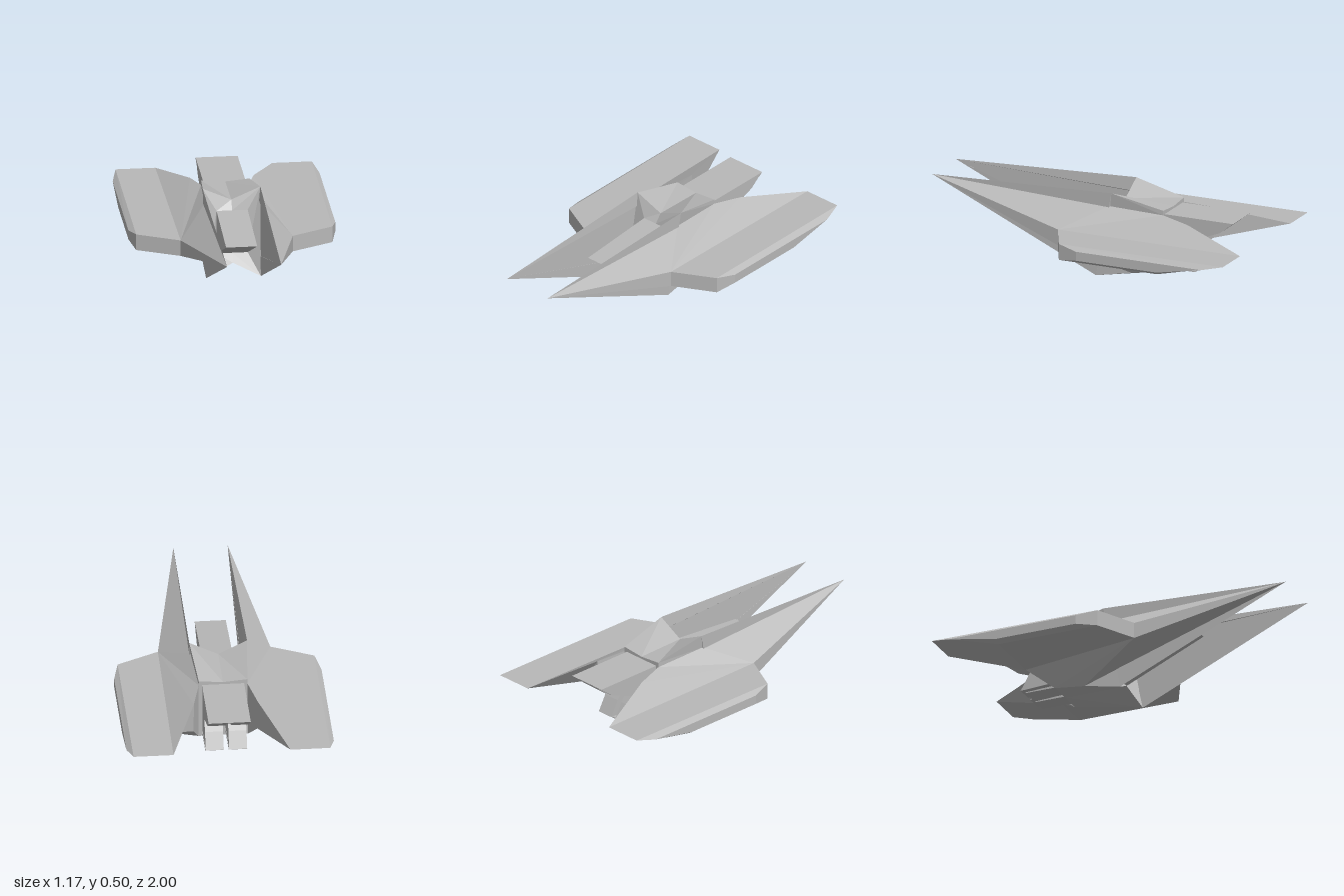
import * as THREE from 'three';

const hull = new THREE.MeshStandardMaterial({ color: 0xb8b8b8, flatShading: true, side: THREE.DoubleSide });
hull.name = 'hull grey';

// Corner points of the left half; the right half is mirrored
const P = {
  tip: [0.153, 0.455, 1],
  // prong plates beside the intake
  crest: [0.163, 0.5, -0.12], plateTop: [0.155, 0.42, -0.1],
  keel: [0.155, 0, -0.02], keelBack: [0.155, 0.045, -0.24],
  // centre body
  topFront: [0, 0.425, -0.13], topBack: [0, 0.42, -0.43],
  lowFront: [0, 0.075, -0.05], lowBack: [0, 0.075, -0.43],
  roofBack: [0.137, 0.432, -0.43], sideBack: [0.137, 0.405, -0.43], floorBack: [0.14, 0.075, -0.43],
  // intake rectangle
  inTop: [0.088, 0.375, -0.09], inLow: [0.088, 0.12, -0.09],
  inTopMid: [0, 0.375, -0.09], inLowMid: [0, 0.12, -0.09],
  // wing root and wing
  rootTop: [0.317, 0.295, 0.14], rootLow: [0.317, 0.202, 0.14],
  innerTop: [0.18, 0.385, -0.6], innerLow: [0.18, 0.202, -0.59],
  rearIn: [0.33, 0.3, -1], rearOut: [0.555, 0.3, -1],
  wingTop: [0.555, 0.296, 0.02], wingLow: [0.555, 0.202, 0.02],
  rootLowBack: [0.32, 0.202, -0.59], wingLowBack: [0.555, 0.202, -0.59],
  edgeTop: [0.585, 0.275, -0.1], edgeLow: [0.585, 0.222, -0.1],
  edgeLowBack: [0.585, 0.222, -0.6], edgeBack: [0.585, 0.275, -0.88],
};

// Builds polygons, each a space-separated list of corner names
function panels(name, side, faces) {
  const pos = [];
  for (const face of faces) {
    const c = face.split(' ').map((k) => [P[k][0] * side, P[k][1], P[k][2]]);
    if (side < 0) c.reverse();
    for (let i = 1; i < c.length - 1; i++) pos.push(...c[0], ...c[i], ...c[i + 1]);
  }
  const g = new THREE.BufferGeometry();
  g.setAttribute('position', new THREE.Float32BufferAttribute(pos, 3));
  g.computeVertexNormals();
  const m = new THREE.Mesh(g, hull);
  m.name = name;
  return m;
}

// Side profile given as [z, y] points, extruded across x0..x1
function profile(name, pts, x0, x1) {
  const shape = new THREE.Shape(pts.map(([z, y]) => new THREE.Vector2(z, y)));
  const g = new THREE.ExtrudeGeometry(shape, { depth: x1 - x0, bevelEnabled: false });
  g.rotateY(-Math.PI / 2).translate(x1, 0, 0);
  const m = new THREE.Mesh(g, hull);
  m.name = name;
  return m;
}

export function createModel() {
  const model = new THREE.Group();
  model.name = 'spaceship';

  for (const side of [1, -1]) {
    const half = new THREE.Group();
    half.name = side > 0 ? 'leftHalf' : 'rightHalf';

    half.add(panels('prong', side, [
      'tip plateTop crest',
      'tip crest keel',
      'tip keel keelBack',
      'tip keelBack rootLow',
      'tip rootLow rootTop',
      'tip rootTop plateTop',
    ]));

    half.add(panels('body', side, [
      'crest roofBack topBack topFront',
      'crest plateTop sideBack roofBack',
      'keel lowFront lowBack floorBack keelBack',
      'topBack roofBack floorBack lowBack',
    ]));

    half.add(panels('intake', side, [
      'crest topFront inTopMid inTop',
      'crest inTop inLow keel',
      'keel inLow inLowMid lowFront',
    ]));

    half.add(panels('wing', side, [
      // shoulder and upper surface
      'plateTop rootTop sideBack',
      'sideBack rootTop innerTop',
      'innerTop rootTop rearIn',
      'rootTop wingTop rearOut rearIn',
      // leading edge and outer bevels
      'rootTop rootLow wingLow wingTop',
      'wingTop wingLow edgeLow edgeTop',
      'wingTop edgeTop edgeBack rearOut',
      'edgeTop edgeLow edgeLowBack edgeBack',
      'wingLow wingLowBack edgeLowBack edgeLow',
      'edgeLowBack wingLowBack rearOut edgeBack',
      // underside
      'rootLow rootLowBack wingLowBack wingLow',
      'rootLowBack rearIn rearOut wingLowBack',
      'keelBack floorBack rootLow',
      'floorBack innerLow rootLowBack rootLow',
      // inner trailing side
      'sideBack innerTop innerLow floorBack',
      'innerTop rearIn rootLowBack innerLow',
    ]));

    // Notched exhaust block, with a gap between left and right
    const [a, b] = side > 0 ? [0.015, 0.117] : [-0.117, -0.015];
    half.add(profile('exhaust', [
      [-0.4, 0.395], [-0.84, 0.395], [-0.77, 0.34], [-0.56, 0.26],
      [-0.6, 0.2], [-0.65, 0.11], [-0.47, 0.12], [-0.4, 0.12],
    ], a, b));
    half.add(profile('exhaustFlap', [
      [-0.42, 0.105], [-0.62, 0.095], [-0.62, 0.09], [-0.42, 0.09],
    ], a, b));
    model.add(half);
  }

  // Plate over both exhausts
  model.add(profile('exhaustCover', [
    [-0.42, 0.407], [-0.856, 0.407], [-0.835, 0.39], [-0.42, 0.39],
  ], -0.119, 0.119));

  // Wedge reaching forward out of the intake
  model.add(profile('intakeWedge', [
    [-0.09, 0.375], [-0.09, 0.12], [0.385, 0.335],
  ], -0.088, 0.088));

  return model;
}
